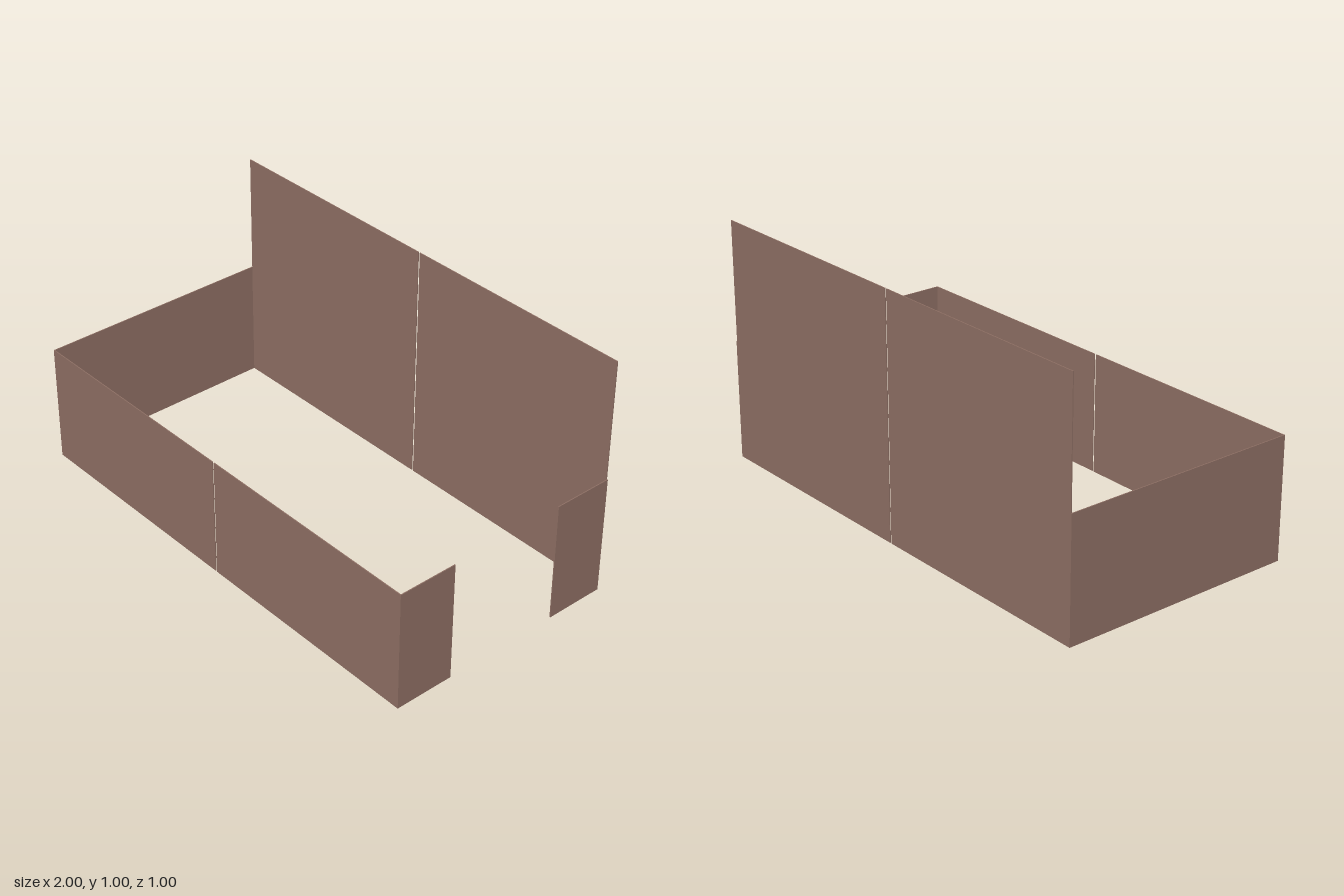
import * as THREE from 'three';

const T = 0.004;      // panel thickness
const GAP = 0.004;    // half of the seam between neighbouring panels
const LOW = 0.498;    // height of the low walls
const HIGH = 0.996;   // height of the back wall

export function createModel() {
  const model = new THREE.Group();
  const material = new THREE.MeshStandardMaterial({ color: 0x8d6e63 });

  // Upright panel standing on the ground, given its extents in x and z
  function panel(name, x0, x1, z0, z1, height) {
    const mesh = new THREE.Mesh(new THREE.BoxGeometry(x1 - x0, height, z1 - z0), material);
    mesh.position.set((x0 + x1) / 2, height / 2, (z0 + z1) / 2);
    mesh.name = name;
    model.add(mesh);
  }

  // Front and back walls, each of two panels with a narrow seam
  const end = 1 - T;
  for (const [side, x0, x1] of [['Right', -end, -GAP], ['Left', GAP, end]]) {
    panel('backWall' + side, x0, x1, -0.5, -0.5 + T, HIGH);
    panel('frontWall' + side, x0, x1, 0.5 - T, 0.5, LOW);
  }

  // Closed end wall
  panel('endWall', -1, -end, -0.5, 0.5, LOW);

  // Open end: short returns either side of the entrance
  panel('entranceWallBack', end, 1, -0.5, -0.25, LOW);
  panel('entranceWallFront', end, 1, 0.25, 0.5, LOW);

  return model;
}
